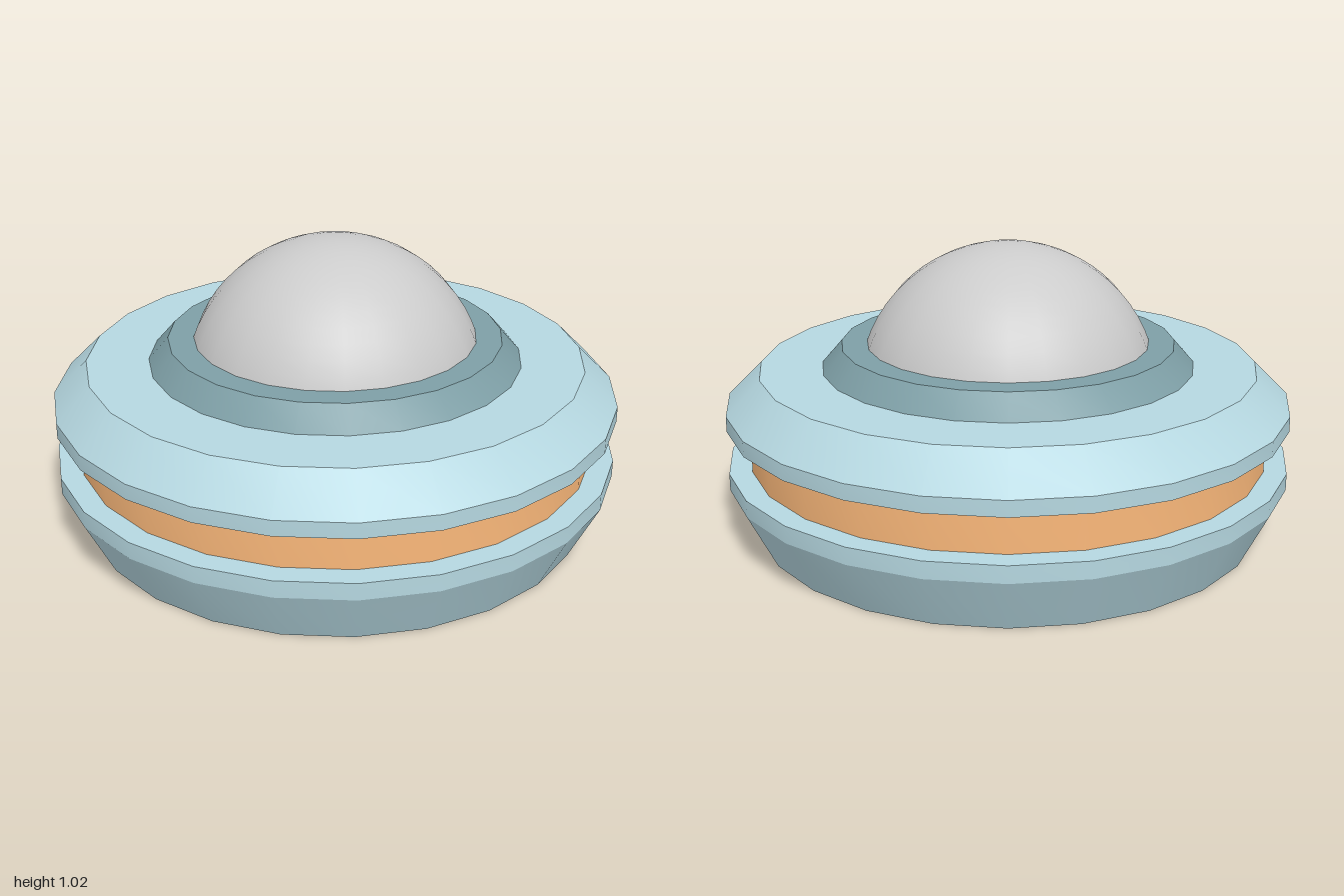
import * as THREE from 'three';
import { toCreasedNormals } from 'three/addons/utils/BufferGeometryUtils.js';

const SIDES = 24;

// Solid of revolution from [radius, height] pairs, bottom to top, with sharp profile edges
function turned(name, color, profile) {
  const points = profile.map(([r, y]) => new THREE.Vector2(r, y));
  const geometry = toCreasedNormals(new THREE.LatheGeometry(points, SIDES), THREE.MathUtils.degToRad(20));
  const mesh = new THREE.Mesh(geometry, new THREE.MeshStandardMaterial({ color }));
  mesh.name = name;
  return mesh;
}

export function createModel() {
  const model = new THREE.Group();
  model.name = 'domedDisc';
  const paleBlue = 0xb5d7e0, slateBlue = 0x7e9fa6, orange = 0xfab87a;

  // Stacked body: flared base, recessed band, bevelled lid, collar
  model.add(
    turned('base', paleBlue, [[0, 0], [0.9, 0], [1, 0.2], [1, 0.26], [0, 0.26]]),
    turned('band', orange, [[0.92, 0.26], [0.92, 0.415]]),
    turned('lid', paleBlue, [[0, 0.415], [1, 0.415], [1, 0.47], [0.88, 0.59], [0, 0.59]]),
    turned('collar', slateBlue, [[0.66, 0.59], [0.59, 0.67], [0, 0.67]]),
  );

  // Smooth dome, a spherical cap sunk slightly into the collar
  const dome = new THREE.Mesh(
    new THREE.SphereGeometry(0.532, SIDES, 12, 0, Math.PI * 2, 0, 1.25),
    new THREE.MeshStandardMaterial({ color: 0xcccccc }),
  );
  dome.name = 'dome';
  dome.position.y = 0.488;
  model.add(dome);

  return model;
}
